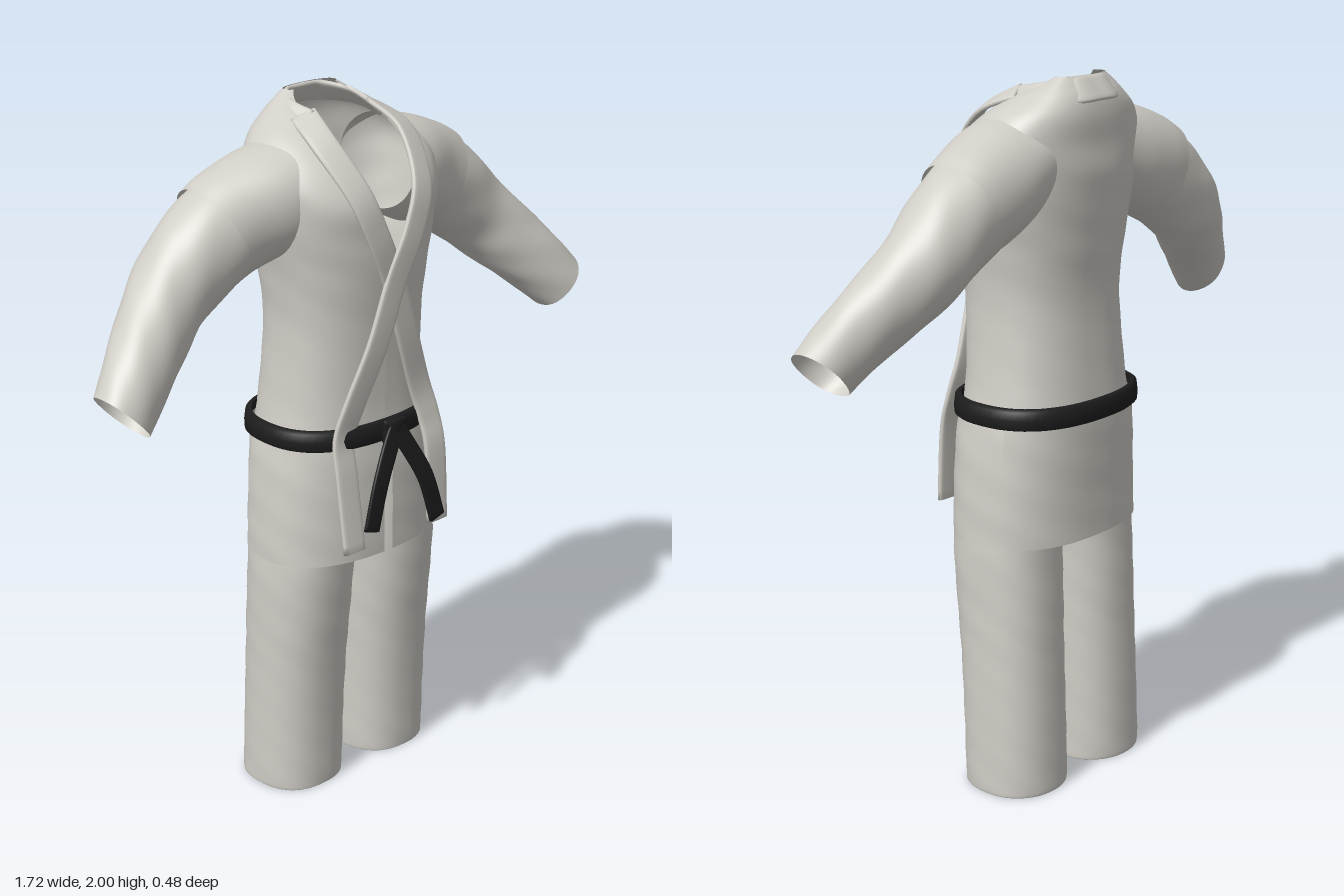
import * as THREE from 'three';

const cloth = new THREE.MeshStandardMaterial({ color: 0xd0cdc6, side: THREE.DoubleSide });
cloth.name = 'off-white cotton';
const black = new THREE.MeshStandardMaterial({ color: 0x1d1d1d, side: THREE.DoubleSide });
black.name = 'black belt cloth';

// Smooth interpolation through rows of numbers
function smoothRows(rows, steps) {
  const out = [];
  for (let i = 0; i < rows.length - 1; i++) {
    const [a, b, c, d] = [i - 1, i, i + 1, i + 2].map(k => rows[Math.min(Math.max(k, 0), rows.length - 1)]);
    for (let s = 0; s < steps; s++) {
      const t = s / steps;
      out.push(b.map((_, k) => 0.5 * (2 * b[k] + (c[k] - a[k]) * t
        + (2 * a[k] - 5 * b[k] + 4 * c[k] - d[k]) * t * t
        + (3 * b[k] - a[k] - 3 * c[k] + d[k]) * t * t * t)));
    }
  }
  out.push(rows[rows.length - 1]);
  return out;
}

// Skin a list of cross-sections
function skin(sections, closed, caps = false) {
  const n = sections[0].length, pos = [], index = [];
  sections.forEach(s => s.forEach(p => pos.push(p.x, p.y, p.z)));
  for (let i = 0; i < sections.length - 1; i++) {
    for (let j = 0; j < (closed ? n : n - 1); j++) {
      const k = (j + 1) % n, a = i * n + j, b = i * n + k;
      index.push(a, b, b + n, a, b + n, a + n);
    }
  }
  if (caps) {
    const last = (sections.length - 1) * n;
    for (let j = 1; j < n - 1; j++) index.push(0, j + 1, j, last, last + j, last + j + 1);
  }
  const g = new THREE.BufferGeometry();
  g.setAttribute('position', new THREE.Float32BufferAttribute(pos, 3));
  g.setIndex(index);
  g.computeVertexNormals();
  return g;
}

const signedPow = (v, e) => Math.sign(v) * Math.pow(Math.abs(v), e);

// Cloth tube; row = [cx, cy, cz, radius across, radius in z, tilt in degrees, half front opening]
function loft(rows, { n = 2.4, from, to, folds = 0.006, steps = 6 } = {}) {
  const segs = 56, open = from !== undefined || rows.some(r => r[6] > 0);
  const sections = smoothRows(rows, steps).map(([cx, cy, cz, ra, rb, tilt, gap = 0]) => {
    const start = from ?? Math.asin(Math.min(1, Math.pow(Math.max(gap, 0) / ra, n / 2)));
    const end = to ?? 2 * Math.PI - start, t = THREE.MathUtils.degToRad(tilt);
    return Array.from({ length: open ? segs + 1 : segs }, (_, j) => {
      const a = start + (end - start) * j / segs;
      const f = 1 + folds * Math.sin(3 * a + cy * 23) * Math.sin(cy * 31 + 2 * a);
      const u = ra * f * signedPow(Math.sin(a), 2 / n), v = rb * f * signedPow(Math.cos(a), 2 / n);
      return new THREE.Vector3(cx + u * Math.cos(t), cy + u * Math.sin(t), cz + v);
    });
  });
  return skin(sections, !open);
}

// Flat padded strip; row = [x, y, z, normal x, normal y, normal z]
function band(rows, width, thick) {
  const pts = smoothRows(rows, 6), P = pts.map(p => new THREE.Vector3(p[0], p[1], p[2]));
  const sections = pts.map((p, i) => {
    const T = P[Math.min(i + 1, P.length - 1)].clone().sub(P[Math.max(i - 1, 0)]).normalize();
    const N = new THREE.Vector3(p[3], p[4], p[5]).normalize();
    const S = N.clone().cross(T).normalize();
    N.crossVectors(T, S);
    return Array.from({ length: 16 }, (_, j) => {
      const a = j / 16 * 2 * Math.PI;
      return P[i].clone().addScaledVector(S, width / 2 * signedPow(Math.cos(a), 0.5))
        .addScaledVector(N, thick / 2 * signedPow(Math.sin(a), 0.5));
    });
  });
  return skin(sections, true, true);
}

const mirror = (rows, s) => rows.map(([x, y, z, a, b, tilt]) => [s * x, y, z, a, b, s * tilt]);

export function createModel() {
  const model = new THREE.Group();
  model.name = 'martialArtsUniform';
  const add = (name, geometry, material = cloth) => {
    const mesh = new THREE.Mesh(geometry, material);
    mesh.name = name;
    model.add(mesh);
    return mesh;
  };

  // Jacket body with the V neckline left open
  add('jacketBody', loft([
    [0, 1.05, -0.03, 0.26, 0.19, 0, 0], [0, 1.2, -0.025, 0.237, 0.18, 0, 0],
    [0, 1.4, -0.015, 0.225, 0.178, 0, 0], [0, 1.55, -0.015, 0.24, 0.192, 0, 0],
    [0, 1.65, -0.017, 0.26, 0.2, 0, 0.055], [0, 1.75, -0.02, 0.275, 0.205, 0, 0.085],
    [0, 1.83, -0.04, 0.28, 0.18, 0, 0.108], [0, 1.9, -0.075, 0.235, 0.145, 0, 0.122],
    [0, 1.95, -0.11, 0.165, 0.1, 0, 0.112], [0, 1.98, -0.135, 0.12, 0.055, 0, 0.095],
    [0, 2.0, -0.145, 0.09, 0.03, 0, 0.075],
  ]));

  // Jacket skirt: one back panel and two front panels with side vents
  const skirt = grow => [
    [0, 0.735, -0.028, 0.287 + grow, 0.192 + grow, 0], [0, 0.85, -0.028, 0.283 + grow, 0.192 + grow, 0],
    [0, 1.0, -0.03, 0.272 + grow, 0.193 + grow, 0], [0, 1.1, -0.03, 0.263, 0.193, 0],
  ];
  add('skirtBack', loft(skirt(0), { from: 1.75, to: 2 * Math.PI - 1.75 }));
  add('skirtFrontLeft', loft(skirt(0.007), { from: 0.03, to: 1.87 }));
  add('skirtFrontRight', loft(skirt(0.007), { from: -1.87, to: -0.03 }));

  for (const s of [1, -1]) {
    const side = s > 0 ? 'Left' : 'Right';

    // Sleeve from cuff to shoulder, and the wider shoulder cap over it
    add('sleeve' + side, loft(mirror([
      [0.8, 1.315, 0.038, 0.088, 0.08, 47], [0.72, 1.4, 0.0, 0.098, 0.09, 48],
      [0.63, 1.485, -0.045, 0.108, 0.102, 52], [0.55, 1.56, -0.077, 0.117, 0.11, 58],
      [0.46, 1.635, -0.08, 0.13, 0.118, 60], [0.37, 1.69, -0.078, 0.137, 0.125, 63],
      [0.28, 1.725, -0.07, 0.135, 0.13, 70],
    ], s), { n: 2.1, folds: 0.02 }));
    add('shoulderCap' + side, loft(mirror([
      [0.395, 1.685, -0.078, 0.14, 0.127, 64], [0.34, 1.71, -0.075, 0.146, 0.135, 67],
      [0.25, 1.745, -0.06, 0.145, 0.15, 75], [0.16, 1.78, -0.05, 0.13, 0.15, 82],
    ], s), { n: 2.1 }));

    // Trouser leg, open at the hem
    add('trouserLeg' + side, loft(mirror([
      [0.163, 0.005, -0.058, 0.133, 0.136, 0], [0.163, 0.03, -0.058, 0.136, 0.138, 0],
      [0.162, 0.2, -0.052, 0.136, 0.138, 0], [0.16, 0.4, -0.04, 0.136, 0.14, 0],
      [0.158, 0.55, -0.03, 0.137, 0.146, 0], [0.154, 0.72, -0.021, 0.138, 0.15, 0],
      [0.138, 0.9, -0.022, 0.132, 0.155, 0], [0.13, 1.06, -0.025, 0.118, 0.155, 0],
    ], s), { n: 2.3, folds: 0.012 }));

    // Lapel crossing the chest; the left one lies on top, the right tail hangs over the belt
    const lapel = [
      [0.118, 1.955, -0.04, 0.5, 0.7, 0.5], [0.14, 1.9, 0.068, 0.3, 0.6, 0.74],
      [0.108, 1.78, 0.165, 0.15, 0.3, 0.95], [0.06, 1.66, 0.188, 0, 0, 1],
      [0, 1.53, 0.183, 0, 0, 1], [-0.06, 1.36, 0.176, 0, 0, 1],
      [-0.12, 1.2, 0.162, 0, 0, 1], [-0.148, 1.1, 0.148, 0, 0, 1],
      [-0.155, 1.0, 0.168, 0, 0, 1], [-0.158, 0.79, 0.203, 0, 0.15, 1],
    ].map(([x, y, z, nx, ny, nz]) => {
      const lift = s > 0 ? (y > 1.25 ? 0.01 : 0) : (y < 1.15 && y > 0.95 ? 0.026 : 0);
      return [s * x, y, z + lift, s * nx, ny, nz];
    });
    add('lapel' + side, band(lapel, 0.075, 0.016));
  }

  // Folded collar around the back of the neck
  add('collar', band([
    [-0.122, 1.94, -0.02, -0.7, 0.7, 0.1], [-0.125, 1.955, -0.11, -0.7, 0.7, -0.2],
    [-0.07, 1.965, -0.185, -0.3, 0.6, -0.75], [0, 1.967, -0.195, 0, 0.6, -0.8],
    [0.07, 1.965, -0.185, 0.3, 0.6, -0.75], [0.125, 1.955, -0.11, 0.7, 0.7, -0.2],
    [0.122, 1.94, -0.02, 0.7, 0.7, 0.1],
  ], 0.075, 0.016));

  // Belt, knot and hanging ends
  add('belt', loft([
    [0, 1.072, -0.03, 0.262, 0.195, 0], [0, 1.078, -0.03, 0.278, 0.208, 0],
    [0, 1.125, -0.03, 0.276, 0.206, 0], [0, 1.131, -0.03, 0.258, 0.19, 0],
  ], { folds: 0, steps: 2 }), black);
  add('beltKnot', band([
    [-0.035, 1.105, 0.185, 0, 0, 1], [0, 1.105, 0.195, 0, 0, 1], [0.035, 1.1, 0.185, 0, 0, 1],
  ], 0.068, 0.03), black);
  add('beltEndRight', band([
    [0.005, 1.125, 0.198, 0, 0, 1], [-0.035, 1.06, 0.21, 0, 0.2, 1],
    [-0.085, 0.97, 0.226, 0, 0.1, 1], [-0.122, 0.85, 0.232, 0, 0, 1],
  ], 0.055, 0.012), black);
  add('beltEndLeft', band([
    [-0.01, 1.125, 0.2, 0, 0, 1], [0.035, 1.05, 0.213, 0, 0.2, 1],
    [0.085, 0.95, 0.23, 0, 0.1, 1], [0.125, 0.82, 0.236, 0, 0, 1],
  ], 0.055, 0.012), black);

  return model;
}
